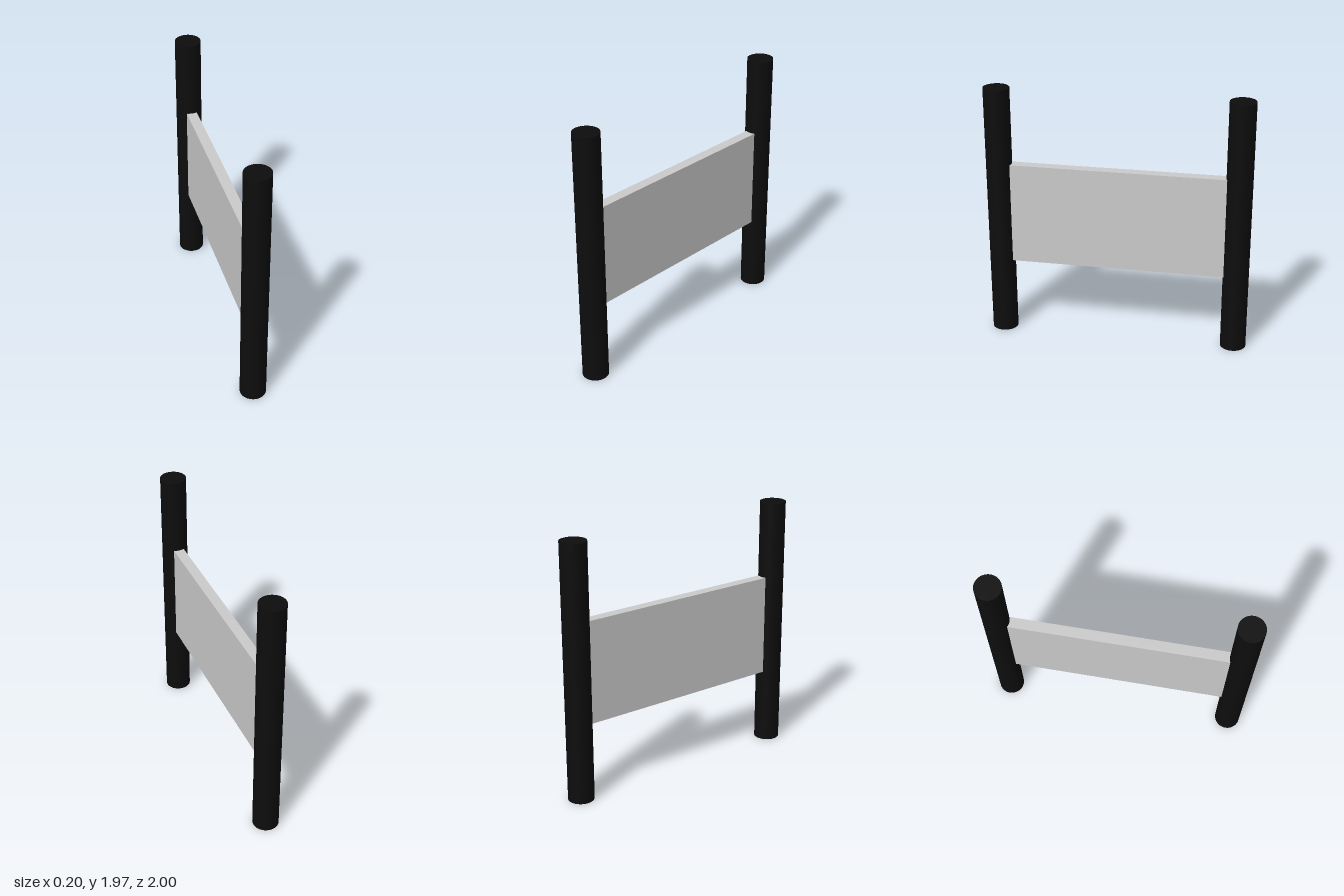
import * as THREE from 'three';

export function createModel() {
  const group = new THREE.Group();
  const postMaterial = new THREE.MeshStandardMaterial({ color: 0x0d0d0d });
  const panelMaterial = new THREE.MeshStandardMaterial({ color: 0xcccccc });

  const radius = 0.098;
  const height = 1.965;
  const postZ = 1 - radius;

  // Two round posts, front and back
  const postGeometry = new THREE.CylinderGeometry(radius, radius, height, 48);
  for (const side of [1, -1]) {
    const post = new THREE.Mesh(postGeometry, postMaterial);
    post.name = side > 0 ? 'frontPost' : 'backPost';
    post.position.set(0, height / 2, side * postZ);
    group.add(post);
  }

  // Flat panel, its ends set into the posts
  const bottom = 0.59;
  const top = 1.376;
  const panel = new THREE.Mesh(
    new THREE.BoxGeometry(0.08, top - bottom, 1.65),
    panelMaterial
  );
  panel.name = 'panel';
  panel.position.y = (bottom + top) / 2;
  group.add(panel);

  return group;
}
